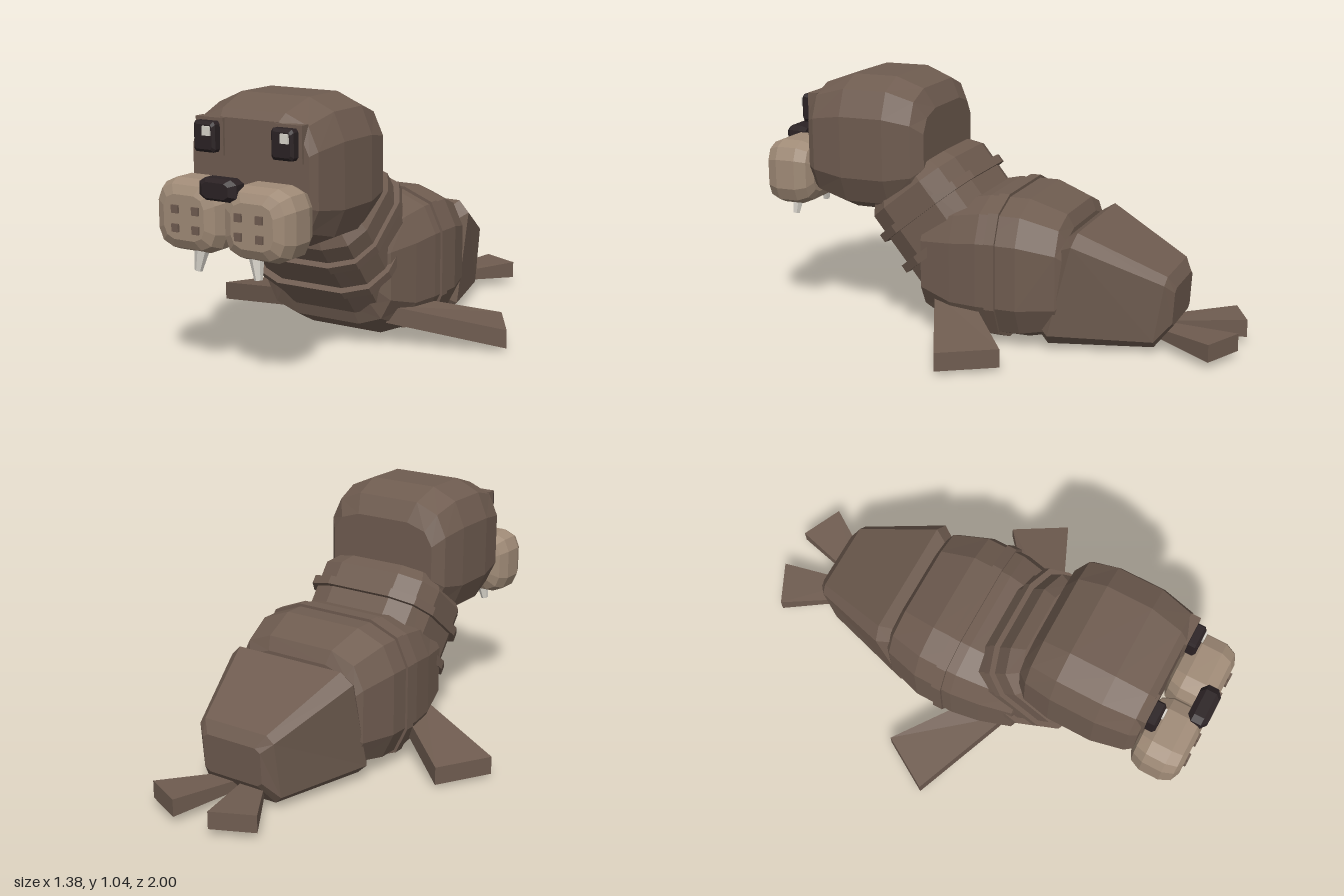
import * as THREE from 'three';

const mat = (name, color) => {
  const m = new THREE.MeshStandardMaterial({ color, flatShading: true });
  m.name = name;
  return m;
};

// Unit outlines for one quarter, mirrored into a closed ring
const outline = (q) => [
  ...q, ...q.map(([x, y]) => [x, -y]).reverse(),
  ...q.map(([x, y]) => [-x, -y]), ...q.map(([x, y]) => [-x, y]).reverse(),
];
const ROUND = outline([[0.5, 1], [0.85, 0.83], [1, 0.45]]);
const BOXY = outline([[0.83, 1], [1, 0.8]]);
const CHAMFER = outline([[0.68, 1], [1, 0.6]]);

// Skin closed rings of points, cap both ends, face outward
function skin(rings) {
  const n = rings[0].length, tris = [];
  for (let i = 0; i < rings.length - 1; i++) {
    for (let j = 0; j < n; j++) {
      const k = (j + 1) % n, a = rings[i], b = rings[i + 1];
      tris.push([a[j], a[k], b[k]], [a[j], b[k], b[j]]);
    }
  }
  const first = rings[0], last = rings[rings.length - 1];
  for (let j = 1; j < n - 1; j++) {
    tris.push([first[0], first[j + 1], first[j]], [last[0], last[j], last[j + 1]]);
  }
  let volume = 0;
  const v = (p) => new THREE.Vector3(...p);
  for (const [a, b, c] of tris) volume += v(a).dot(v(b).cross(v(c)));
  if (volume < 0) tris.forEach((t) => t.reverse());
  const geo = new THREE.BufferGeometry();
  geo.setAttribute('position', new THREE.Float32BufferAttribute(tris.flat(2), 3));
  geo.computeVertexNormals();
  return geo;
}

// Sections along z: [z, yBottom, yTop, halfWidth, shear]
const loft = (shape, sections) => skin(sections.map(([z, y0, y1, w, shear = 0]) =>
  shape.map(([x, y]) => [x * w, (y0 + y1) / 2 + y * (y1 - y0) / 2, z + shear * y])));

// Block with softened ends, centred on the origin
const softBlock = (shape, w, h, d, ends) => loft(shape,
  [...ends.map(([z, s]) => [-z, s]), ...ends.map(([z, s]) => [z, s]).reverse()]
    .map(([z, s]) => [z * d / 2, -s * h / 2, s * h / 2, s * w / 2]));
const SOFT = [[1, 0.62], [0.83, 0.87], [0.4, 1]];
const BEVEL = [[1, 0.7], [0.5, 1]];

// Tapered paddle: root and tip edges as [x, z] pairs with y ranges
const paddle = (side, root, rootY, tip, tipY) => skin([[root, rootY], [tip, tipY]].map(
  ([[a, b], [lo, hi]]) => [[a, lo], [a, hi], [b, hi], [b, lo]].map(([p, y]) => [side * p[0], y, p[1]])));

export function createModel() {
  const group = new THREE.Group();
  group.name = 'walrus';
  const hide = mat('brown hide', 0x6f5c50);
  const tan = mat('tan muzzle', 0xa08b77);
  const dark = mat('dark nose and eyes', 0x2b2224);
  const ivory = mat('ivory', 0xd9d5cc);

  const add = (name, geo, material, x = 0, y = 0, z = 0, parent = group) => {
    const mesh = new THREE.Mesh(geo, material);
    mesh.name = name;
    mesh.position.set(x, y, z);
    parent.add(mesh);
    return mesh;
  };

  // Trunk and its fold
  add('body', loft(ROUND, [
    [-0.335, 0.10, 0.48, 0.28], [-0.31, 0.04, 0.535, 0.305], [-0.16, 0.012, 0.59, 0.35],
    [0.01, 0.012, 0.59, 0.35], [0.13, 0.02, 0.565, 0.33], [0.27, 0.09, 0.52, 0.295],
    [0.29, 0.16, 0.46, 0.25],
  ]), hide);
  add('bodyFold', loft(ROUND, [[-0.075, 0, 0.602, 0.36], [-0.032, 0, 0.602, 0.36]]), hide);

  // Sloping hindquarters
  add('hindquarters', loft(BOXY, [
    [-0.28, 0.05, 0.46, 0.27, -0.055], [-0.325, 0.02, 0.49, 0.30, -0.06],
    [-0.7, 0.022, 0.32, 0.18, -0.025], [-0.75, 0.11, 0.27, 0.14, -0.005],
  ]), hide);

  // Neck leaning up and forward, with two folds
  const neck = new THREE.Group();
  neck.name = 'neck';
  neck.position.set(0, 0.39, 0.2);
  neck.rotation.x = -0.9;
  group.add(neck);
  add('neckCore', loft(ROUND, [
    [-0.2, -0.18, 0.18, 0.24], [-0.14, -0.225, 0.225, 0.28], [0.25, -0.225, 0.225, 0.285],
    [0.3, -0.19, 0.19, 0.25],
  ]), hide, 0, 0, 0, neck);
  for (const z of [0, 0.155]) {
    add('neckFold', loft(ROUND, [[-0.018, -0.25, 0.25, 0.303], [0.018, -0.25, 0.25, 0.303]]),
      hide, 0, 0, z, neck);
  }

  // Head
  add('head', loft(ROUND, [
    [0.272, 0.60, 0.92, 0.245], [0.315, 0.525, 1.0, 0.285], [0.43, 0.483, 1.045, 0.305],
    [0.62, 0.483, 1.045, 0.305], [0.755, 0.525, 1.0, 0.28], [0.785, 0.55, 0.97, 0.26],
  ]), hide);
  add('nose', softBlock(CHAMFER, 0.165, 0.082, 0.085, BEVEL), dark, 0, 0.742, 0.957);

  for (const s of [1, -1]) {
    const side = s > 0 ? 'left' : 'right';
    // Muzzle pad with whisker spots
    add(side + 'MuzzlePad', softBlock(ROUND, 0.295, 0.27, 0.21, SOFT), tan, s * 0.151, 0.625, 0.883);
    for (const x of [0.095, 0.187]) {
      for (const y of [0.585, 0.655]) {
        add(side + 'WhiskerSpot', new THREE.BoxGeometry(0.03, 0.03, 0.05), hide, s * x, y, 0.972);
      }
    }
    // Tusk
    const tusk = add(side + 'Tusk', new THREE.CylinderGeometry(0.036, 0.015, 0.13, 6), ivory,
      s * 0.125, 0.482, 0.922);
    tusk.rotation.set(-0.1, 0, s * 0.16);
    // Eye on its socket plate, with a glint
    add(side + 'EyeSocket', new THREE.BoxGeometry(0.125, 0.14, 0.04), hide, s * 0.175, 0.897, 0.775);
    add(side + 'Eye', softBlock(BOXY, 0.097, 0.115, 0.048, [[1, 0.8], [0.6, 1]]), dark,
      s * 0.174, 0.898, 0.811);
    add(side + 'EyeGlint', new THREE.BoxGeometry(0.034, 0.035, 0.009), ivory,
      s * 0.174 + 0.017, 0.922, 0.838);
    // Flippers
    add(side + 'FrontFlipper', paddle(s, [[0.25, 0.23], [0.25, 0.07]], [0.1, 0.172],
      [[0.69, 0.04], [0.56, -0.178]], [0.015, 0.09]), hide);
    add(side + 'RearFlipper', paddle(s, [[0.005, -0.68], [0.1, -0.68]], [0.045, 0.085],
      [[0.085, -1], [0.255, -0.92]], [0.028, 0.1]), hide);
  }
  return group;
}
